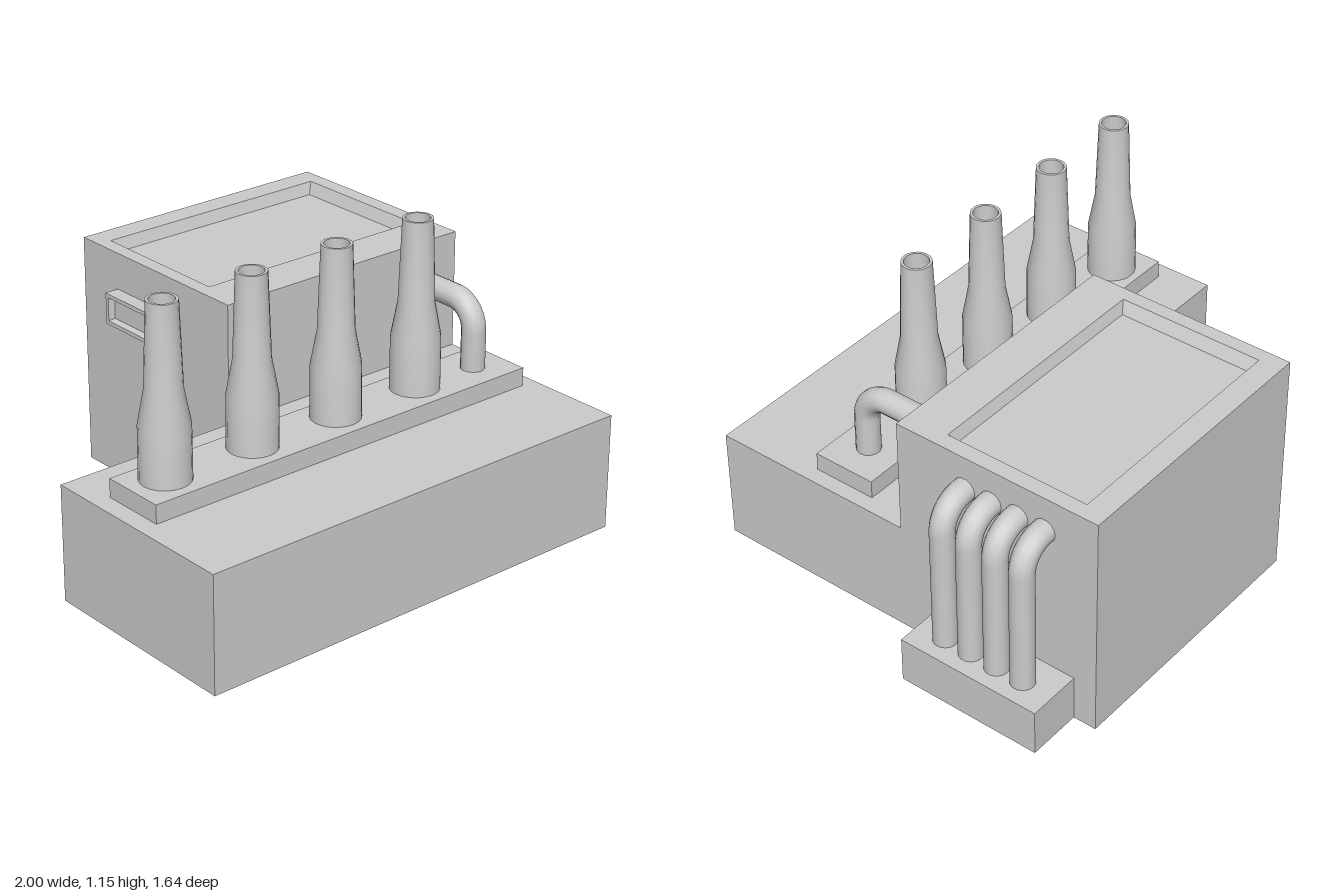
import * as THREE from 'three';
import { mergeVertices, toCreasedNormals } from 'three/addons/utils/BufferGeometryUtils.js';

const mat = new THREE.MeshStandardMaterial({ color: 0xcccccc, side: THREE.DoubleSide });

// Flat-shaded surface from a list of four-cornered faces
function quads(list) {
  const pos = [];
  for (const [a, b, c, d] of list) pos.push(...a, ...b, ...c, ...a, ...c, ...d);
  const g = new THREE.BufferGeometry();
  g.setAttribute('position', new THREE.Float32BufferAttribute(pos, 3));
  g.computeVertexNormals();
  return g;
}

// Faces joining two loops of corners (counter-clockwise seen from above, lower loop first)
function band(lower, upper) {
  return lower.map((p, i) => {
    const j = (i + 1) % lower.length;
    return [p, lower[j], upper[j], upper[i]];
  });
}

// Rectangle loop at height y
const rect = (x0, x1, z0, z1, y) => [[x0, y, z1], [x1, y, z1], [x1, y, z0], [x0, y, z0]];

// Box given by its limits
function box(x0, x1, y0, y1, z0, z1) {
  const g = new THREE.BoxGeometry(x1 - x0, y1 - y0, z1 - z0);
  return g.translate((x0 + x1) / 2, (y0 + y1) / 2, (z0 + z1) / 2);
}

// Open-topped tray: outer walls, rim, sloping inner walls and a sunken floor
function recessedTop(outer, hole, floor) {
  return [...band(outer, hole), ...band(hole, floor), floor];
}

export function createModel() {
  const root = new THREE.Group();
  const add = (name, geometry, parent = root) => {
    const m = new THREE.Mesh(geometry, mat);
    m.name = name;
    parent.add(m);
    return m;
  };

  // Hollow building: L-shaped lower walls, low front roof, tall rear hall
  const low = 0.44, high = 0.89, zMid = 0.01;
  const foot = [[-1, 0.82], [0.79, 0.82], [0.79, -0.82], [-0.28, -0.82], [-0.28, zMid], [-1, zMid]];
  const ring = (y) => foot.map(([x, z]) => [x, y, z]);
  add('lowerWalls', quads(band(ring(0), ring(low))));
  add('frontRoof', quads([rect(-1, 0.79, zMid, 0.82, low)]));
  const hallTop = rect(-0.28, 0.79, -0.82, zMid, high);
  add('hallWalls', quads(band(rect(-0.28, 0.79, -0.82, zMid, low), hallTop)));
  add('hallRoof', quads(recessedTop(
    hallTop,
    rect(-0.225, 0.73, -0.73, -0.16, high),
    rect(-0.2, 0.71, -0.715, -0.175, high - 0.045))));

  // Side vent: a shallow tray turned to face -x
  const vent = add('sideVent', quads([
    ...band(rect(-0.06, 0.06, -0.16, 0.16, 0), rect(-0.06, 0.06, -0.16, 0.16, 0.055)),
    ...recessedTop(
      rect(-0.06, 0.06, -0.16, 0.16, 0.055),
      rect(-0.045, 0.045, -0.145, 0.145, 0.055),
      rect(-0.04, 0.04, -0.14, 0.14, 0.03)),
  ]));
  vent.rotation.z = Math.PI / 2;
  vent.position.set(-0.28, 0.69, -0.46);

  // Plinths under the chimneys and the side pipes
  add('chimneyPlinth', box(-0.93, 0.73, 0.39, 0.51, 0.19, 0.44));
  add('pipePlinth', box(0.79, 1, 0, 0.18, -0.73, -0.16));

  // Four bottle-shaped chimneys with hollow tops
  const profile = [[0, 0.36], [0.092, 0.36], [0.09, 0.71], [0.066, 0.84],
    [0.055, 1.15], [0.045, 1.15], [0.045, 1.05], [0, 1.05]]
    .map(([r, y]) => new THREE.Vector2(r, y));
  const chimneyGeo = new THREE.LatheGeometry(profile, 20);
  chimneyGeo.deleteAttribute('normal');
  chimneyGeo.deleteAttribute('uv');
  const chimney = toCreasedNormals(mergeVertices(chimneyGeo), 0.5);
  const chimneys = new THREE.Group();
  chimneys.name = 'chimneys';
  root.add(chimneys);
  for (let i = 0; i < 4; i++) {
    add('chimney', chimney, chimneys).position.set(-0.79 + i * 0.37, 0, 0.31);
  }

  // Elbow pipe: rises along y, bends and runs towards -x
  const V = (x, y) => new THREE.Vector3(x, y, 0);
  const bend = 0.1, topY = 0.757, k = bend * 0.448;
  const path = new THREE.CurvePath();
  path.add(new THREE.LineCurve3(V(0, 0.15), V(0, topY - bend)));
  path.add(new THREE.CubicBezierCurve3(V(0, topY - bend), V(0, topY - k), V(-k, topY), V(-bend, topY)));
  path.add(new THREE.LineCurve3(V(-bend, topY), V(-0.36, topY)));
  const pipe = new THREE.TubeGeometry(path, 48, 0.045, 14);
  const pipes = new THREE.Group();
  pipes.name = 'pipes';
  root.add(pipes);
  for (let i = 0; i < 4; i++) {
    add('sidePipe', pipe, pipes).position.set(0.905, 0, -0.275 - i * 0.11);
  }
  const frontPipe = add('frontPipe', pipe, pipes);
  frontPipe.rotation.y = -Math.PI / 2;
  frontPipe.position.set(0.593, 0, 0.32);

  // The front pipe runs back into the hall
  return root;
}
